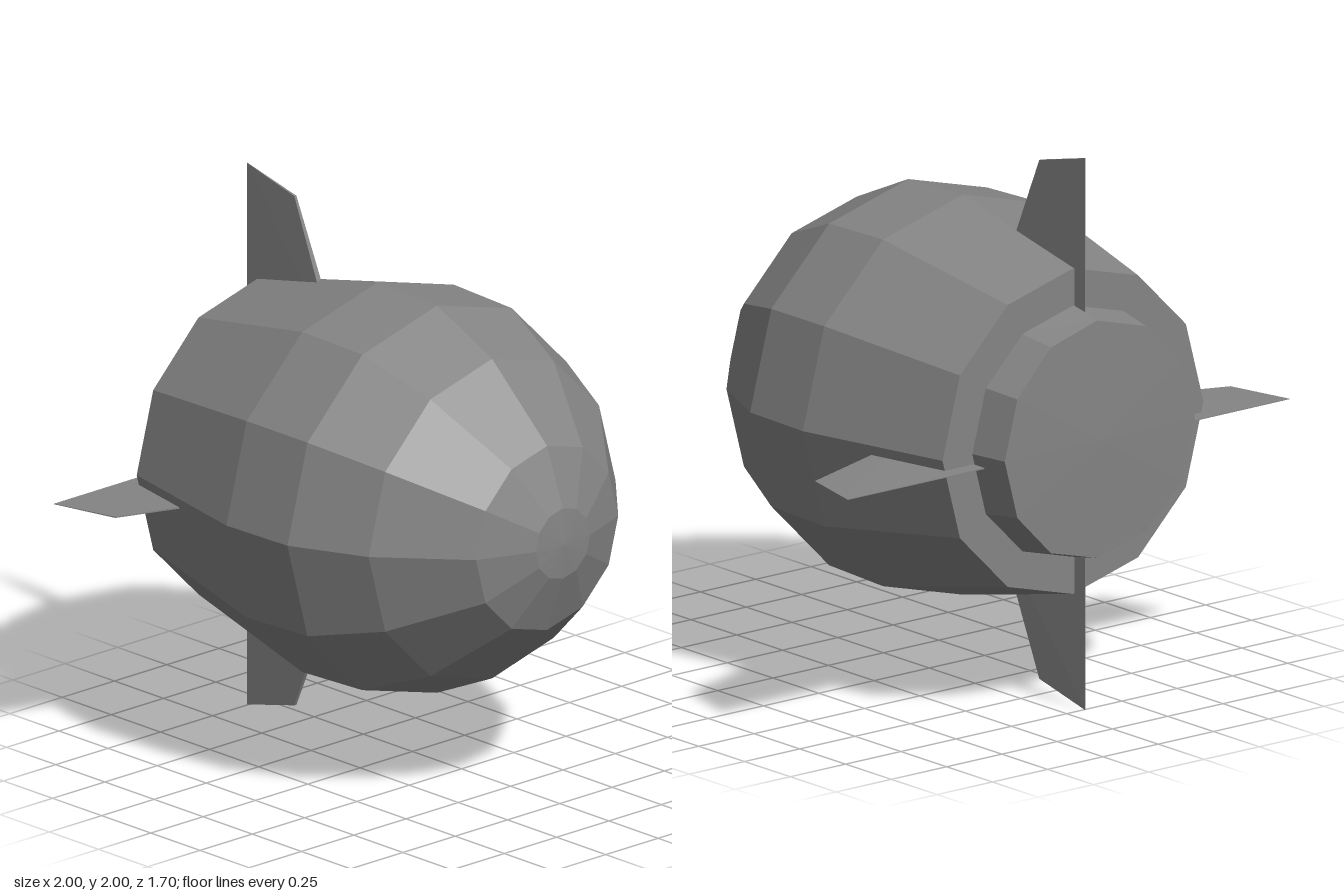
import * as THREE from 'three';
import { ConvexGeometry } from 'three/addons/geometries/ConvexGeometry.js';

const CENTRE_X = -0.07;
const SIDES = 12;

const material = new THREE.MeshStandardMaterial({ color: 0x848484, flatShading: true });

// Faceted solid of revolution along z; profile is [radius, z] from back to front
function turned(name, profile) {
  const points = profile.map(([r, z]) => new THREE.Vector2(r, z));
  const geometry = new THREE.LatheGeometry(points, SIDES).rotateX(Math.PI / 2);
  const mesh = new THREE.Mesh(geometry, material);
  mesh.name = name;
  mesh.position.set(CENTRE_X, 1, 0);
  return mesh;
}

// Blade pointing up +y, thickest at the front of its root, with sharp rear and tip;
// outline is [distance, z, half thickness]
function fin(name, outline, x, y, angle) {
  const points = outline.flatMap(([d, z, t]) => [
    new THREE.Vector3(t, d, z),
    new THREE.Vector3(-t, d, z),
  ]);
  const mesh = new THREE.Mesh(new ConvexGeometry(points), material);
  mesh.name = name;
  mesh.position.set(x, y, 0);
  mesh.rotation.z = angle;
  return mesh;
}

export function createModel() {
  const group = new THREE.Group();
  group.name = 'bomb';

  // Rounded body with a blunt nose and a flat stepped rear
  group.add(turned('body', [
    [0, -0.7], [0.59, -0.7], [0.725, -0.1], [0.715, 0.2],
    [0.59, 0.48], [0.34, 0.76], [0.13, 0.84], [0, 0.85],
  ]));

  // Tail collar, its end slightly bowed toward top and bottom
  const tail = turned('tailCollar', [[0, -0.847], [0.43, -0.847], [0.457, -0.69]]);
  const p = tail.geometry.attributes.position;
  for (let i = 0; i < p.count; i++) {
    if (p.getZ(i) < -0.8) p.setZ(i, p.getZ(i) + 0.015 * (p.getY(i) / 0.43) ** 4);
  }
  group.add(tail);

  // Four tail fins
  const upright = [[0.42, -0.755, 0.002], [0.42, -0.29, 0.015], [0.94, -0.51, 0.005], [1, -0.755, 0.001]];
  const level = [[0.38, -0.76, 0.002], [0.38, -0.315, 0.004], [0.94, -0.51, 0.002], [1, -0.76, 0.001]];
  group.add(
    fin('topFin', upright, -0.08, 1, 0),
    fin('bottomFin', upright, -0.08, 1, Math.PI),
    fin('leftFin', level, 0, 0.96, -Math.PI / 2),
    fin('rightFin', level, 0, 0.96, Math.PI / 2),
  );
  return group;
}
